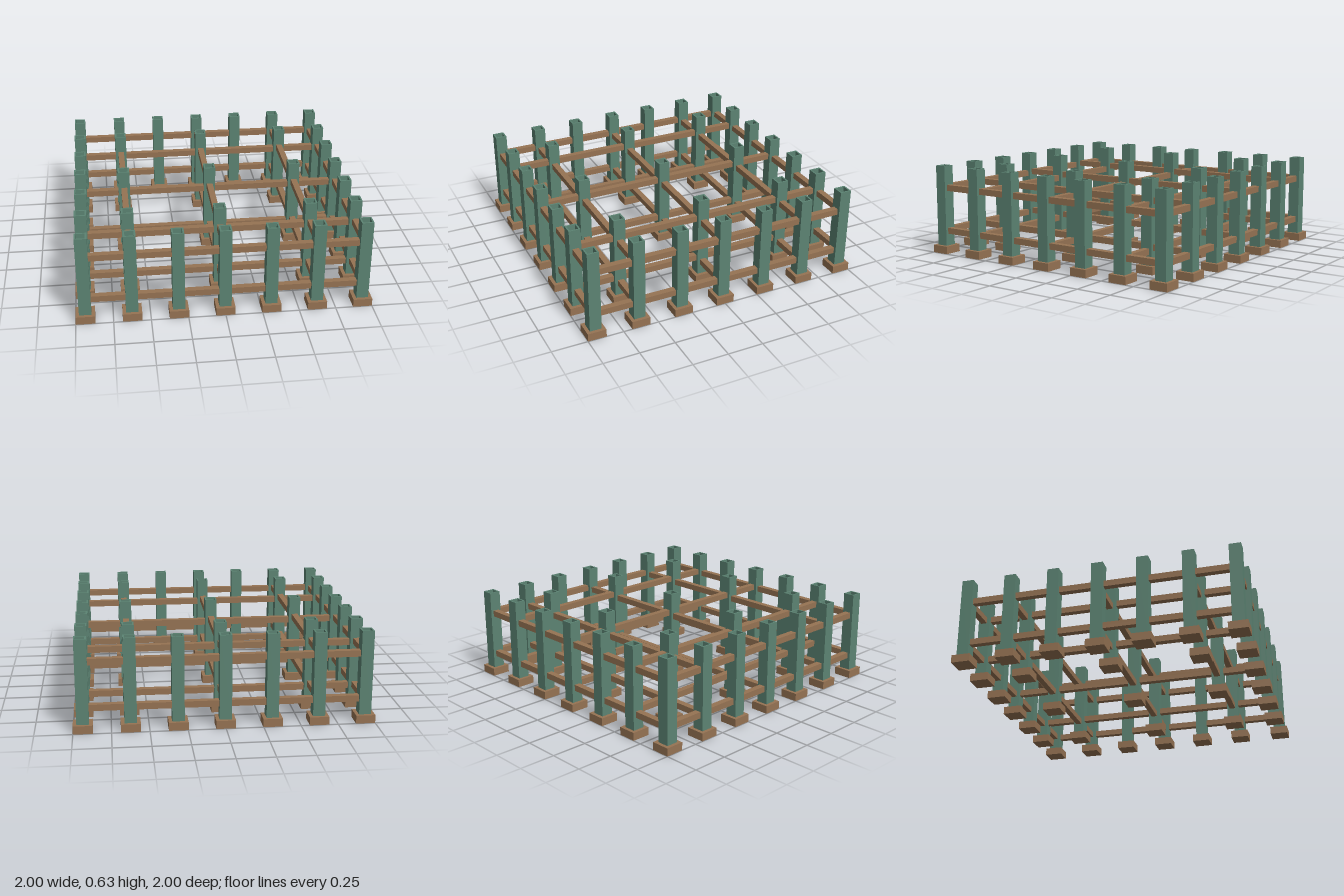
import * as THREE from 'three';

const STEP = 0.3117, EDGE = STEP * 3;
const FOOT = 0.13, FOOT_H = 0.055;
const POST = 0.082, WALL = 0.011, TOP = 0.632;
const BEAM = 0.043;

function square(PathType, size) {
  const h = size / 2;
  return new PathType([[-h, -h], [h, -h], [h, h], [-h, h]].map(([x, y]) => new THREE.Vector2(x, y)));
}

export function createModel() {
  const group = new THREE.Group();
  const green = new THREE.MeshStandardMaterial({ color: 0x5c8473 });
  green.name = 'green post paint';
  const brown = new THREE.MeshStandardMaterial({ color: 0x967353 });
  brown.name = 'brown timber';

  const add = (name, geometry, material, x, y, z) => {
    const mesh = new THREE.Mesh(geometry, material);
    mesh.name = name;
    mesh.position.set(x, y, z);
    group.add(mesh);
  };

  // Hollow square post, open at the top
  const profile = square(THREE.Shape, POST);
  profile.holes.push(square(THREE.Path, POST - 2 * WALL));
  const postGeometry = new THREE.ExtrudeGeometry(profile, { depth: TOP - FOOT_H, bevelEnabled: false });
  postGeometry.rotateX(-Math.PI / 2);
  const footGeometry = new THREE.BoxGeometry(FOOT, FOOT_H, FOOT);

  // Full row of posts around the edge, sparser grid inside
  for (let i = -3; i <= 3; i++) {
    for (let j = -3; j <= 3; j++) {
      const onEdge = Math.abs(i) === 3 || Math.abs(j) === 3;
      const onInnerGrid = i % 2 === 0 && j % 2 === 0;
      if (!onEdge && !onInnerGrid) continue;
      add('footing', footGeometry, brown, i * STEP, FOOT_H / 2, j * STEP);
      add('post', postGeometry, green, i * STEP, FOOT_H, j * STEP);
    }
  }

  // Two levels of rails; inner crossing rails sit slightly above and below each other
  const crossRail = new THREE.BoxGeometry(EDGE * 2, BEAM, BEAM);
  const lengthRail = new THREE.BoxGeometry(BEAM, BEAM, EDGE * 2);
  for (const y of [0.162, 0.474]) {
    for (const i of [-3, -2, 0, 2, 3]) {
      const shift = Math.abs(i) === 3 ? 0 : 0.0135;
      add('crossRail', crossRail, brown, 0, y - shift, i * STEP);
      add('lengthRail', lengthRail, brown, i * STEP, y + shift, 0);
    }
  }
  return group;
}
